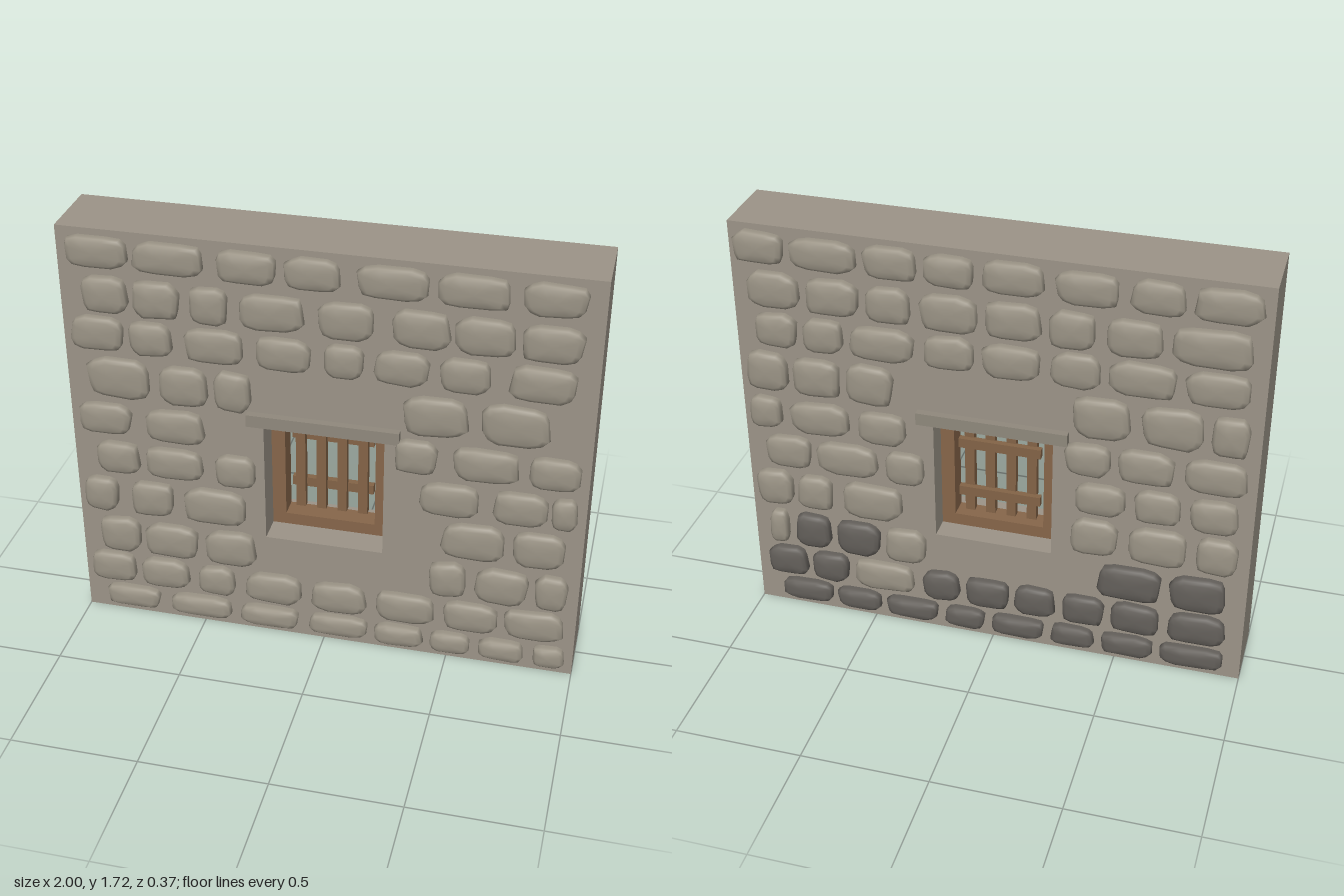
import * as THREE from 'three';

const mat = (name, color) => Object.assign(new THREE.MeshStandardMaterial({ color }), { name });

// Small seeded generator for stone irregularity
let seed = 7;
const rand = () => {
  seed = (seed * 16807) % 2147483647;
  return seed / 2147483647;
};

// Courses from top to bottom: [bottom, top]
const courses = [
  [1.57, 1.7], [1.39, 1.54], [1.23, 1.37], [1.03, 1.2], [0.86, 1.0],
  [0.69, 0.83], [0.5, 0.66], [0.31, 0.47], [0.155, 0.29], [0.035, 0.13],
];

// Left and right edge of each stone in a course, in hundredths
const frontStones = [
  [-97, -72, -71, -43, -39, -16, -14, 7, 12, 39, 41, 68, 71, 94],
  [-91, -73, -72, -53, -50, -35, -32, -6, -2, 20, 25, 47, 48, 70, 71, 94],
  [-97, -76, -74, -57, -53, -30, -26, -4, 0, 16, 19, 40, 43, 62, 68, 93],
  [-92, -66, -63, -44, -42, -27, 30, 55, 59, 85],
  [-97, -75, -70, -46, 27, 44, 49, 75, 77, 97],
  [-91, -73, -71, -47, -43, -26, 37, 60, 65, 86, 87, 97],
  [-97, -83, -78, -60, -57, -30, 46, 71, 73, 94],
  [-92, -75, -73, -51, -48, -27, 42, 57, 60, 81, 83, 96],
  [-97, -78, -76, -55, -52, -36, -32, -8, -5, 18, 21, 45, 48, 70, 72, 96],
  [-92, -68, -64, -37, -35, -10, -6, 19, 21, 41, 43, 60, 63, 81, 84, 97],
];
const backStones = [
  [-98, -78, -76, -50, -48, -27, -25, -6, -4, 20, 23, 47, 50, 70, 72, 97],
  [-94, -73, -71, -50, -48, -30, -27, -5, -3, 19, 21, 39, 42, 63, 65, 95],
  [-92, -75, -73, -57, -55, -29, -26, -6, -4, 19, 22, 41, 43, 69, 71, 95],
  [-97, -80, -78, -59, -57, -38, 30, 53, 56, 80, 82, 96],
  [-97, -84, -81, -56, -53, -33, 28, 46, 48, 70, 73, 97],
  [-92, -73, -71, -45, -43, -27, 32, 52, 55, 73, 76, 95],
  [-97, -82, -80, -65, -62, -36, 31, 50, 53, 77, 79, 96],
  [-93, -85, -82, -67, -65, -46, -44, -27, 42, 68, 70, 93],
  [-95, -78, -76, -60, -58, -32, -29, -13, -11, 7, 9, 26, 28, 46, 48, 68, 70, 94],
  [-90, -68, -66, -47, -45, -22, -20, -3, -1, 22, 24, 42, 44, 66, 68, 94],
];
// Which back stones are dark, by course
const darkStones = { 7: [1, 2, 4, 5], 8: [0, 1, 3, 4, 5, 6, 7, 8], 9: [0, 1, 2, 3, 4, 5, 6, 7] };

// Domed cobble: shrinking rings of an irregular rounded outline, rising along +z
function stoneGeometry(w, h) {
  const n = 12, depth = 0.041 + rand() * 0.006;
  const rings = [[0.97, -0.005], [1, 0.018], [0.95, 0.032], [0.78, 0.04], [0.4, 0.044]];
  const turn = (rand() - 0.5) * 0.25;
  const outline = Array.from({ length: n }, (_, i) => {
    const a = ((i + 0.5) / n) * Math.PI * 2 + turn;
    const soft = (v) => Math.sign(v) * Math.abs(v) ** 0.55;
    const r = 1.02 - rand() * 0.12;
    return [
      THREE.MathUtils.clamp(soft(Math.cos(a)) * r, -1, 1) * w / 2,
      THREE.MathUtils.clamp(soft(Math.sin(a)) * r, -1, 1) * h / 2,
    ];
  });
  const pos = [], index = [];
  for (const [s, z] of rings) for (const [x, y] of outline) pos.push(x * s, y * s, z * depth / 0.045);
  pos.push(0, 0, depth);
  const tip = rings.length * n;
  rings.forEach((_, k) => {
    for (let i = 0; i < n; i++) {
      const a = k * n + i, b = k * n + (i + 1) % n;
      if (k === rings.length - 1) index.push(a, b, tip);
      else index.push(a, b, b + n, a, b + n, a + n);
    }
  });
  const g = new THREE.BufferGeometry();
  g.setAttribute('position', new THREE.Float32BufferAttribute(pos, 3));
  g.setIndex(index);
  g.computeVertexNormals();
  return g;
}

// One face of stones, laid on the plane z = 0.14
function stoneFace(name, rows, pickMaterial) {
  const face = new THREE.Group();
  face.name = name;
  rows.forEach((row, r) => {
    const [y0, y1] = courses[r];
    for (let i = 0; i < row.length; i += 2) {
      const x0 = row[i] / 100, x1 = row[i + 1] / 100;
      const stone = new THREE.Mesh(stoneGeometry(x1 - x0, y1 - y0), pickMaterial(r, i / 2));
      stone.position.set((x0 + x1) / 2, (y0 + y1) / 2, 0.14);
      stone.name = 'stone';
      face.add(stone);
    }
  });
  return face;
}

// Rectangle with a rectangular hole, extruded from z0 to z1
function framedSlab(o, hole, z0, z1) {
  const rect = (T, [x0, y0, x1, y1]) => new T([[x0, y0], [x1, y0], [x1, y1], [x0, y1]].map((p) => new THREE.Vector2(...p)));
  const shape = rect(THREE.Shape, o);
  shape.holes.push(rect(THREE.Path, hole));
  return new THREE.ExtrudeGeometry(shape, { depth: z1 - z0, bevelEnabled: false }).translate(0, 0, z0);
}

export function createModel() {
  seed = 7;
  const mortar = mat('mortar', 0x9c9488);
  const stone = mat('stone', 0x9b9486);
  const darkStone = mat('dark stone', 0x64605b);
  const lintelStone = mat('lintel stone', 0x90897d);
  const wood = mat('frame wood', 0x87664a);
  const barWood = mat('bar wood', 0x846447);

  const model = new THREE.Group();
  model.name = 'stoneWallWithWindow';
  const add = (parent, name, geometry, material) => {
    const m = new THREE.Mesh(geometry, material);
    m.name = name;
    parent.add(m);
    return m;
  };
  const box = (parent, name, material, x0, x1, y0, y1, z0, z1) =>
    add(parent, name, new THREE.BoxGeometry(x1 - x0, y1 - y0, z1 - z0), material)
      .position.set((x0 + x1) / 2, (y0 + y1) / 2, (z0 + z1) / 2);

  // Wall with window opening, and lintel through its depth
  add(model, 'wall', framedSlab([-1, 0, 1, 1.72], [-0.233, 0.46, 0.233, 0.985], -0.14, 0.14), mortar);
  box(model, 'lintel', lintelStone, -0.293, 0.293, 0.98, 1.03, -0.17, 0.17);

  // Wooden frame, open at the top beneath the lintel
  const frame = new THREE.Group();
  frame.name = 'windowFrame';
  box(frame, 'frameSill', wood, -0.233, 0.233, 0.46, 0.51, -0.05, 0.03);
  for (const s of [-1, 1]) {
    const x = s * 0.206;
    box(frame, 'framePost', wood, x - 0.027, x + 0.027, 0.51, 0.98, -0.05, 0.03);
  }
  model.add(frame);

  // Slatted grille
  const grille = new THREE.Group();
  grille.name = 'grille';
  for (const x of [-0.127, -0.044, 0.039, 0.122])
    box(grille, 'uprightSlat', barWood, x - 0.019, x + 0.019, 0.53, 0.965, -0.035, -0.005);
  for (const y of [0.63, 0.85])
    box(grille, 'crossSlat', barWood, -0.166, 0.16, y - 0.02, y + 0.02, -0.055, -0.03);
  model.add(grille);

  // Stones on both faces
  model.add(stoneFace('frontStones', frontStones, () => stone));
  const back = stoneFace('backStones', backStones, (r, i) => (darkStones[r]?.includes(i) ? darkStone : stone));
  back.rotation.y = Math.PI;
  model.add(back);
  return model;
}
